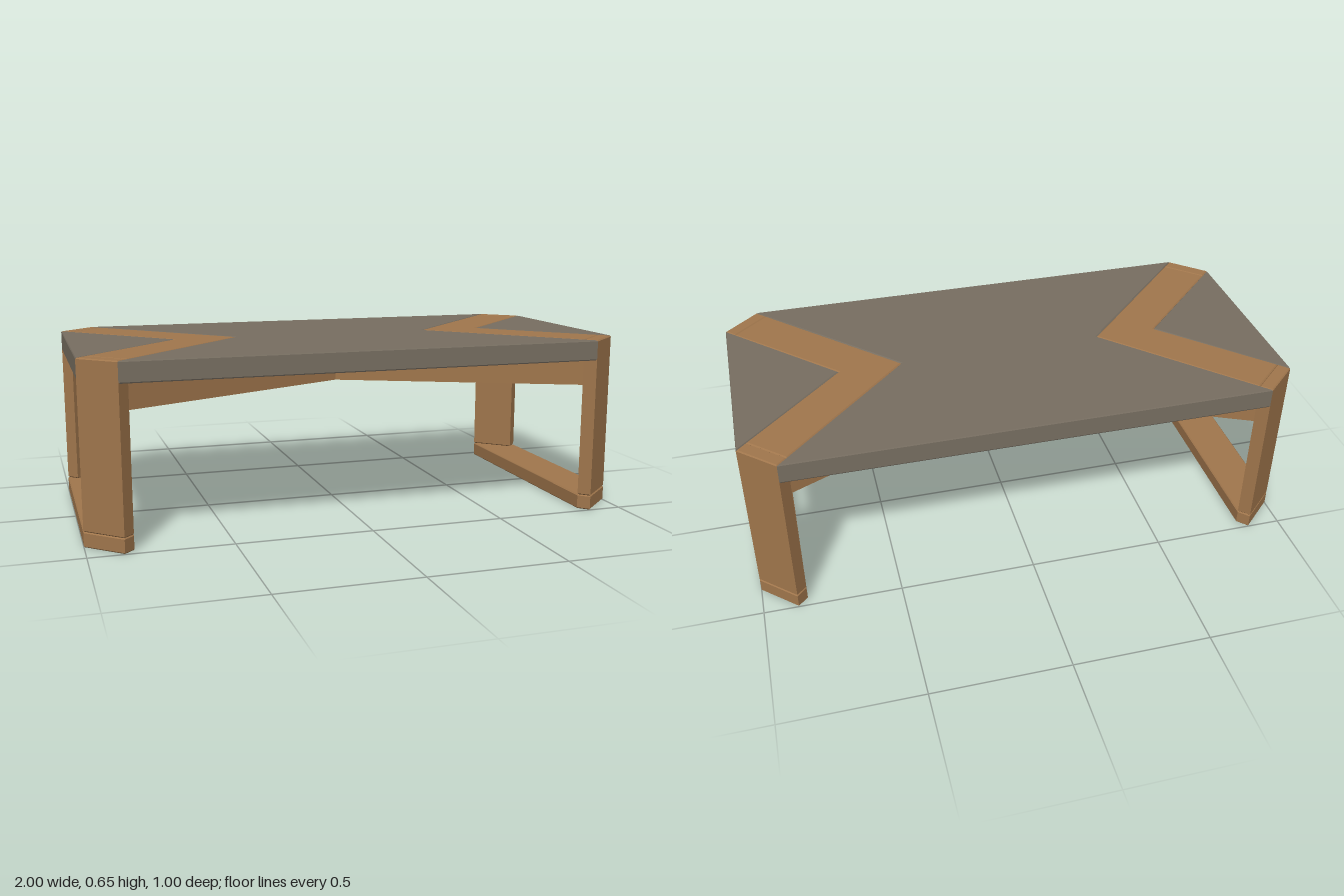
import * as THREE from 'three';

const BEVEL = 0.004;
const TOP = 0.65, UNDERSIDE = 0.575, FOOT = 0.055, BRACE = 0.475;

// Upright prism from a plan outline of [x, z] points, between two heights
function prism(name, outline, y0, y1, material) {
  const shape = new THREE.Shape(outline.map(([x, z]) => new THREE.Vector2(x, -z)));
  const geometry = new THREE.ExtrudeGeometry(shape, {
    depth: y1 - y0 - 2 * BEVEL,
    bevelEnabled: true,
    bevelThickness: BEVEL,
    bevelSize: BEVEL,
    bevelOffset: -BEVEL,
    bevelSegments: 1,
  });
  geometry.rotateX(-Math.PI / 2);
  geometry.translate(0, y0 + BEVEL, 0);
  const mesh = new THREE.Mesh(geometry, material);
  mesh.name = name;
  return mesh;
}

export function createModel() {
  const wood = new THREE.MeshStandardMaterial({ color: 0xa0764c });
  wood.name = 'warm wood';
  const grey = new THREE.MeshStandardMaterial({ color: 0x776e61 });
  grey.name = 'grey panel';

  const table = new THREE.Group();
  table.name = 'coffeeTable';

  // Central grey panel, notched at both ends
  table.add(prism('centrePanel', [
    [0.875, 0.5], [0.38, 0], [0.875, -0.5],
    [-0.875, -0.5], [-0.38, 0], [-0.875, 0.5],
  ], UNDERSIDE, TOP, grey));

  for (const sx of [1, -1]) {
    const side = sx > 0 ? 'left' : 'right';
    const flip = (points) => points.map(([x, z]) => [x * sx, z]);

    // Grey triangle at the end of the top
    table.add(prism(side + 'EndPanel', flip([[1, 0.385], [1, -0.385], [0.612, 0]]), UNDERSIDE, TOP, grey));

    // Wooden chevron set flush into the top
    table.add(prism(side + 'Chevron', flip([
      [0.84, 0.465], [0.965, 0.35], [0.612, 0], [0.965, -0.35], [0.84, -0.465], [0.38, 0],
    ]), UNDERSIDE, TOP, wood));

    // Foot rail with chamfered ends
    table.add(prism(side + 'FootRail', flip([
      [1, 0.385], [0.875, 0.5], [0.84, 0.465], [0.84, -0.465], [0.875, -0.5], [1, -0.385],
    ]), 0, FOOT, wood));

    // Diagonal plank legs, running up to the table top
    for (const sz of [1, -1]) {
      const leg = [[1, 0.385], [0.875, 0.5], [0.84, 0.465], [0.965, 0.35]];
      table.add(prism(side + (sz > 0 ? 'FrontLeg' : 'BackLeg'),
        flip(leg).map(([x, z]) => [x, z * sz]), FOOT, TOP, wood));
    }
  }

  // Crossed braces joining opposite legs beneath the top
  const endX = 0.918, endZ = 0.422;
  for (const s of [1, -1]) {
    const brace = new THREE.Mesh(
      new THREE.BoxGeometry(2 * Math.hypot(endX, endZ), UNDERSIDE - BRACE, 0.09), wood);
    brace.name = s > 0 ? 'crossBraceA' : 'crossBraceB';
    brace.position.y = (UNDERSIDE + BRACE) / 2;
    brace.rotation.y = s * Math.atan2(endZ, endX);
    table.add(brace);
  }

  return table;
}
